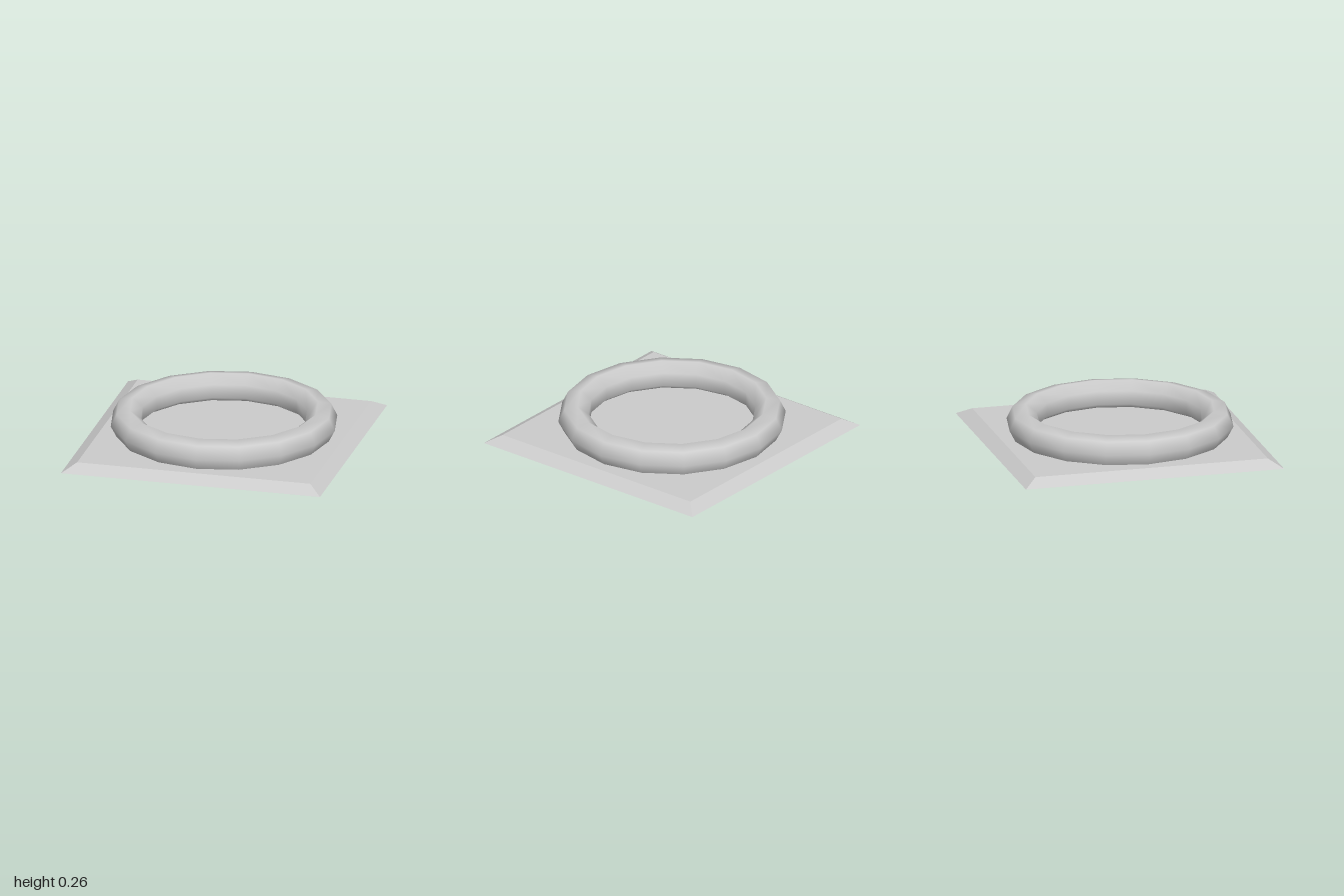
import * as THREE from 'three';

const material = new THREE.MeshStandardMaterial({ color: 0xcccccc, side: THREE.DoubleSide });
const PLATE_HEIGHT = 0.06;

// Square plate with bevelled sides, open underneath
function createPlate() {
  const geometry = new THREE.BoxGeometry(2, PLATE_HEIGHT, 2);
  geometry.translate(0, PLATE_HEIGHT / 2, 0);
  const pos = geometry.attributes.position;
  for (let i = 0; i < pos.count; i++) {
    if (pos.getY(i) > 0.01) {
      pos.setX(i, pos.getX(i) * 0.9);
      pos.setZ(i, pos.getZ(i) * 0.9);
    }
  }
  // drop the bottom face (fourth of the six box faces)
  const index = Array.from(geometry.index.array);
  index.splice(18, 6);
  geometry.setIndex(index);
  geometry.clearGroups();
  geometry.computeVertexNormals();
  const mesh = new THREE.Mesh(geometry, material);
  mesh.name = 'basePlate';
  return mesh;
}

// Sixteen-sided ring with a seven-sided tube, cut off where it meets the plate
function createRing() {
  const radius = 0.735, tube = 0.12, centerY = 0.147;
  const profile = [new THREE.Vector2(0.81, PLATE_HEIGHT)];
  for (let i = 0; i <= 4; i++) {
    const a = (i / 7) * Math.PI * 2;
    profile.push(new THREE.Vector2(radius + tube * Math.cos(a), centerY + tube * Math.sin(a)));
  }
  profile.push(new THREE.Vector2(0.67, PLATE_HEIGHT));
  const mesh = new THREE.Mesh(new THREE.LatheGeometry(profile, 16), material);
  mesh.name = 'ring';
  return mesh;
}

export function createModel() {
  const group = new THREE.Group();
  group.name = 'ringOnPlate';
  group.add(createPlate(), createRing());
  return group;
}
